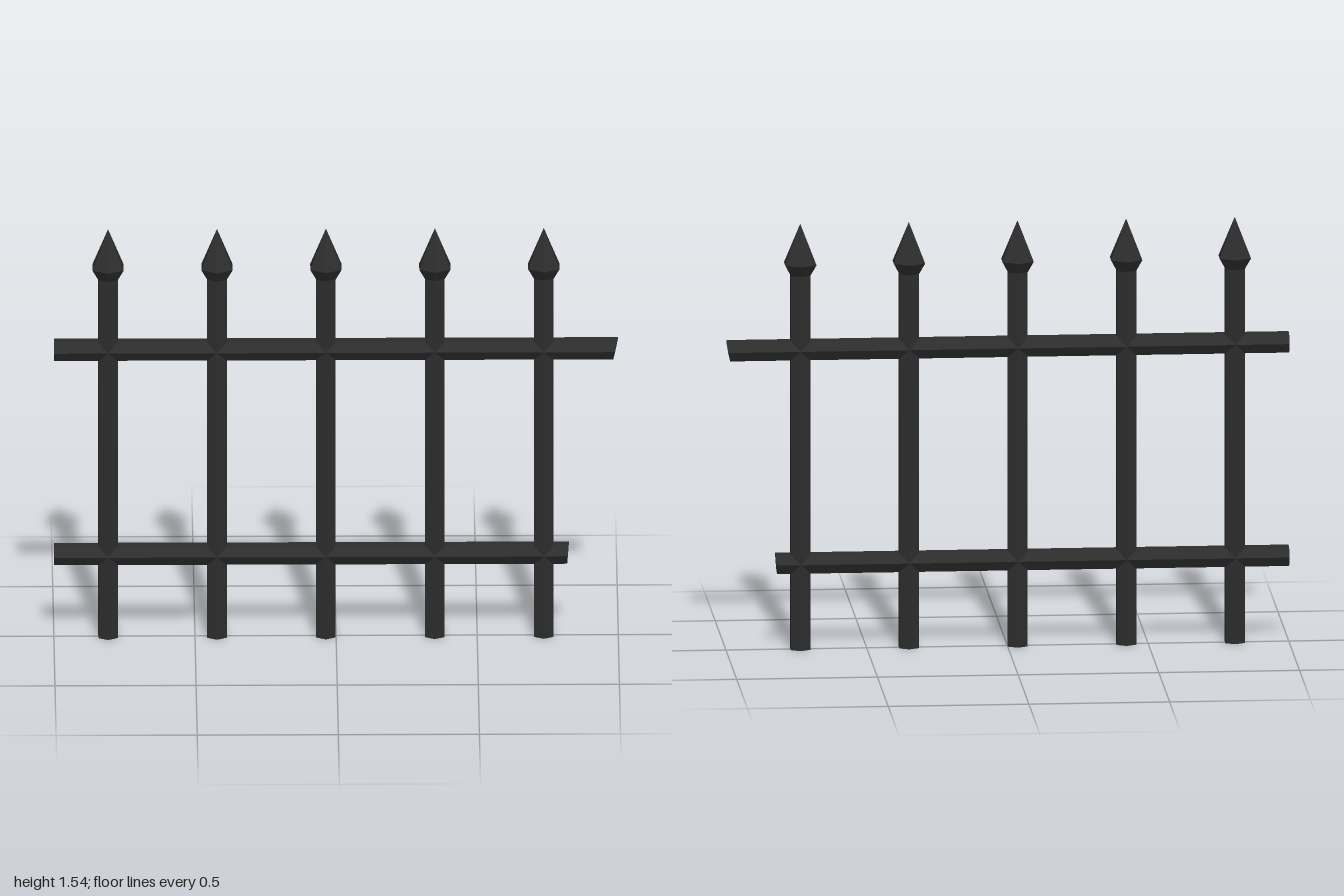
import * as THREE from 'three';

const iron = new THREE.MeshStandardMaterial({ color: 0x2d2d2d });
iron.name = 'black iron';

const SIDES = 6;
const RADIUS = 0.04;

// Gives every face its own flat normal
function facetedMesh(geometry, name) {
  const flat = geometry.toNonIndexed();
  flat.computeVertexNormals();
  const mesh = new THREE.Mesh(flat, iron);
  mesh.name = name;
  return mesh;
}

// Upright hexagonal bar with a spear point
function createPicket(x) {
  const picket = new THREE.Group();
  picket.name = 'picket';
  const shaftTop = 1.355, shoulder = 1.395, peak = 1.54;

  const shaft = facetedMesh(new THREE.CylinderGeometry(RADIUS, RADIUS, shaftTop, SIDES), 'shaft');
  shaft.position.y = shaftTop / 2;

  const profile = [[RADIUS, shaftTop], [0.064, shoulder], [0, peak]];
  const point = facetedMesh(
    new THREE.LatheGeometry(profile.map(([r, y]) => new THREE.Vector2(r, y)), SIDES), 'spearPoint');

  picket.add(shaft, point);
  picket.position.x = x;
  return picket;
}

// Horizontal hexagonal bar whose right end is cut at a slant
function createRail(name, y, endX, slopeY, slopeZ) {
  const startX = -1;
  const geometry = new THREE.CylinderGeometry(RADIUS, RADIUS, endX - startX, SIDES);
  geometry.rotateZ(-Math.PI / 2).translate((startX + endX) / 2, 0, 0);
  const p = geometry.attributes.position;
  for (let i = 0; i < p.count; i++) {
    if (p.getX(i) > 0) p.setX(i, endX + slopeY * p.getY(i) + slopeZ * p.getZ(i));
  }
  const rail = facetedMesh(geometry, name);
  rail.position.y = y;
  return rail;
}

export function createModel() {
  const fence = new THREE.Group();
  fence.name = 'fence';
  for (let i = 0; i < 5; i++) fence.add(createPicket(-0.808 + i * 0.386));
  fence.add(createRail('upperRail', 1.084, 0.991, 0.2, -0.1));
  fence.add(createRail('lowerRail', 0.311, 0.822, 0.08, -0.03));
  return fence;
}
